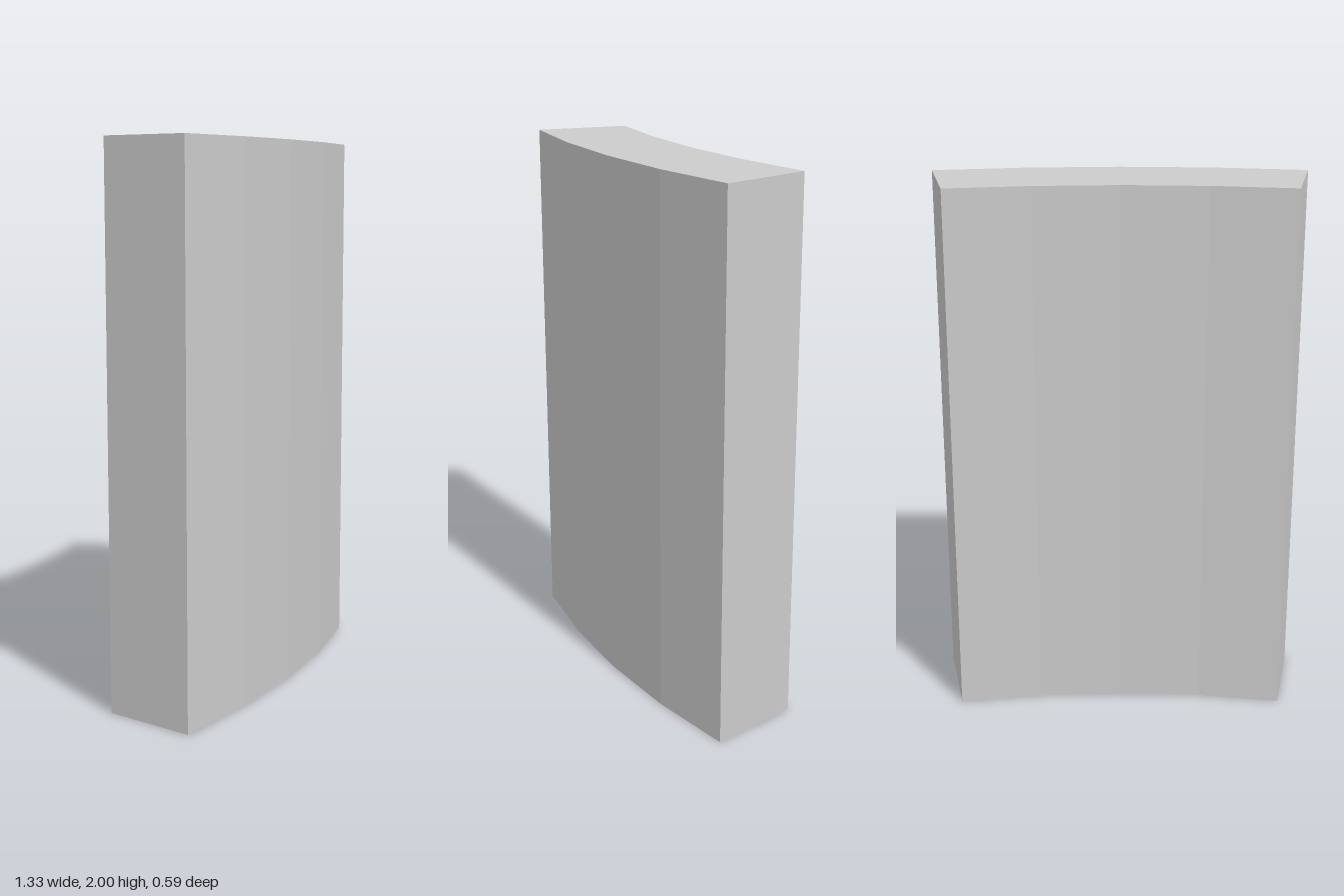
import * as THREE from 'three';

const OUTER = 3.483, INNER = 3.136, SWEEP = Math.PI / 8, SEGMENTS = 4, HEIGHT = 2;
const CENTRE_X = -0.6665, CENTRE_Z = -3.192;

// Faceted arc in plan; the shape's y is -z, as the extrusion is tipped upright
function arcPoints(radius) {
  return Array.from({ length: SEGMENTS + 1 }, (_, i) => {
    const a = (SWEEP * i) / SEGMENTS;
    return new THREE.Vector2(CENTRE_X + radius * Math.sin(a), -(CENTRE_Z + radius * Math.cos(a)));
  });
}

export function createModel() {
  const group = new THREE.Group();
  group.name = 'curvedWall';

  // Wall section: outer arc out, inner arc back
  const plan = new THREE.Shape([...arcPoints(OUTER), ...arcPoints(INNER).reverse()]);
  const geometry = new THREE.ExtrudeGeometry(plan, { depth: HEIGHT, bevelEnabled: false });
  geometry.rotateX(-Math.PI / 2);

  const material = new THREE.MeshStandardMaterial({ color: 0xcccccc, flatShading: true });
  const wall = new THREE.Mesh(geometry, material);
  wall.name = 'wallSegment';
  group.add(wall);
  return group;
}
